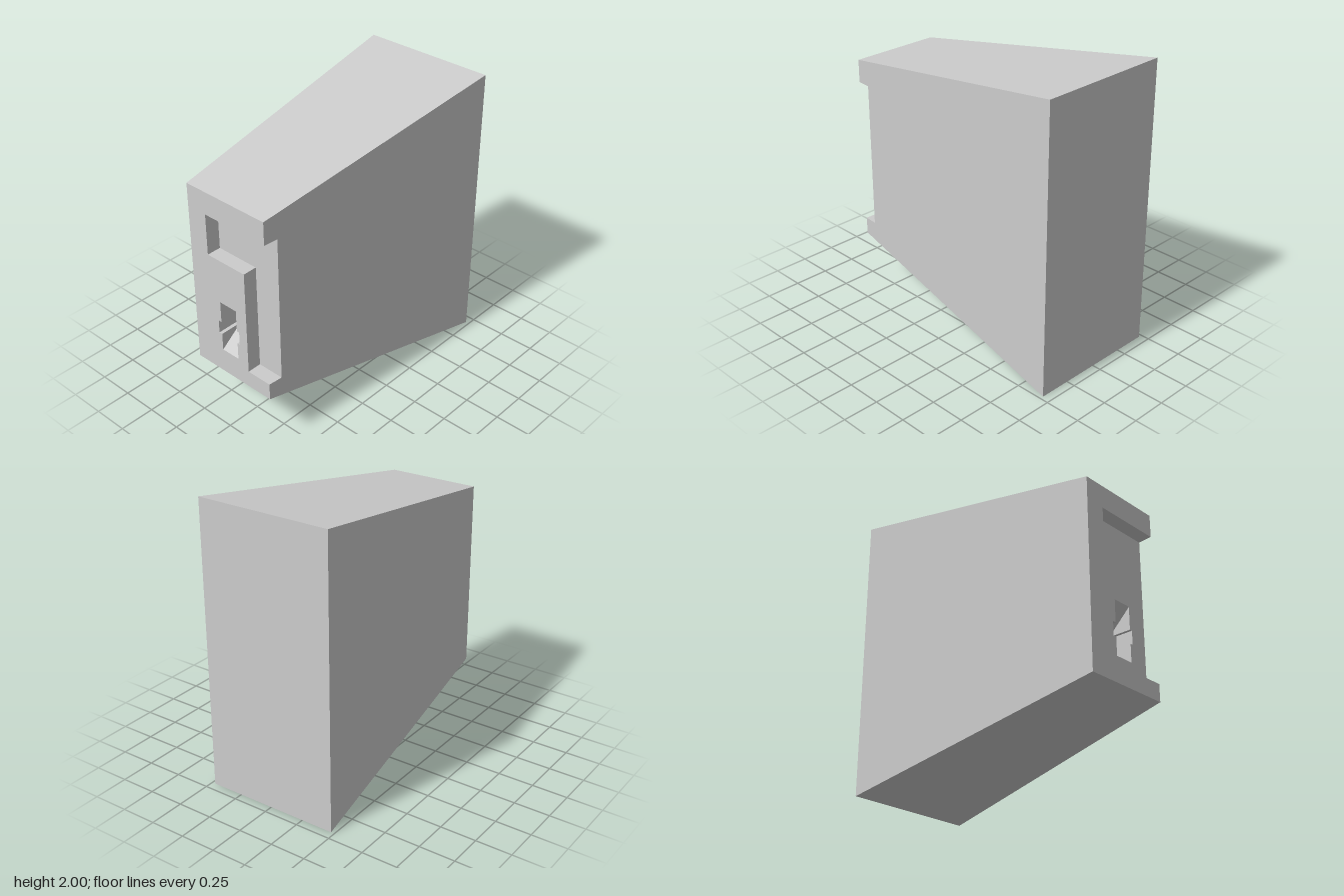
import * as THREE from 'three';

const FRONT = 0.94, BACK = -0.94, RECESS = 0.84, SLOT = 0.78;
// Half width of the tapered housing at depth z
const halfWidth = z => 0.325 + 0.15 * (FRONT - z) / (FRONT - BACK);

// Flat faces, each a convex loop of corners seen counter-clockwise
function faces(list) {
  const pos = [];
  for (const f of list)
    for (let i = 1; i < f.length - 1; i++) pos.push(...f[0], ...f[i], ...f[i + 1]);
  const g = new THREE.BufferGeometry();
  g.setAttribute('position', new THREE.Float32BufferAttribute(pos, 3));
  g.computeVertexNormals();
  return g;
}

const points = list => list.map(p => new THREE.Vector2(...p));

function flat(outline, hole) {
  const s = new THREE.Shape(points(outline));
  if (hole) s.holes.push(new THREE.Path(points(hole)));
  return new THREE.ShapeGeometry(s);
}

export function createModel() {
  const group = new THREE.Group();
  const grey = new THREE.MeshStandardMaterial({ color: 0xcccccc });
  const add = (name, geometry) => {
    const m = new THREE.Mesh(geometry, grey);
    m.name = name;
    group.add(m);
    return m;
  };

  // Tapered housing: top, underside, back and plain side
  const w = halfWidth(FRONT), W = halfWidth(BACK);
  add('housing', faces([
    [[-w, 1.7, FRONT], [w, 1.7, FRONT], [W, 2, BACK], [-W, 2, BACK]],
    [[-W, 0, BACK], [W, 0, BACK], [w, 0.38, FRONT], [-w, 0.38, FRONT]],
    [[W, 0, BACK], [-W, 0, BACK], [-W, 2, BACK], [W, 2, BACK]],
    [[-W, 0, BACK], [-w, 0.38, FRONT], [-w, 1.7, FRONT], [-W, 2, BACK]],
  ]));

  // Left side, notched where the recess runs out
  const side = flat([
    [-FRONT, 0.38], [-BACK, 0], [-BACK, 2], [-FRONT, 1.7],
    [-FRONT, 1.54], [-RECESS, 1.54], [-RECESS, 0.5], [-FRONT, 0.5],
  ]);
  const p = side.attributes.position;
  for (let i = 0; i < p.count; i++) {
    const z = -p.getX(i);
    p.setXYZ(i, halfWidth(z), p.getY(i), z);
  }
  side.computeVertexNormals();
  add('leftSide', side);

  // Front plate with the socket opening
  const step = [[w, 1.54], [-0.175, 1.54], [-0.175, 1.25], [0.14, 1.25], [0.14, 0.5], [w, 0.5]];
  const l = -0.09, r = 0.05, L = -0.115, R = 0.07;
  const low = 0.555, y0 = 0.68, y1 = 0.775, high = 0.93;
  const socket = [
    [l, low], [r, low], [r, y0], [R, y0], [R, y1], [r, y1],
    [r, high], [l, high], [l, y1], [L, y1], [L, y0], [l, y0],
  ];
  add('frontPlate', flat([[-w, 0.38], [w, 0.38], ...[...step].reverse(), [w, 1.7], [-w, 1.7]], socket))
    .position.z = FRONT;

  // Stepped recess: walls and floor
  const e = halfWidth(RECESS);
  const inner = step.map(([x, y]) => [x === w ? e : x, y]);
  add('recessWalls', faces(step.slice(1).map((b, i) => [
    [...step[i], FRONT], [...b, FRONT], [...inner[i + 1], RECESS], [...inner[i], RECESS],
  ])));
  add('recessFloor', flat(inner)).position.z = RECESS;

  // Socket: cross slot between two sloping chutes
  const wall = (a, b) => [[...a, FRONT], [...b, FRONT], [...b, SLOT], [...a, SLOT]];
  add('socketSlot', faces([
    [[L, y0, SLOT], [R, y0, SLOT], [R, y1, SLOT], [L, y1, SLOT]],
    wall([r, y0], [R, y0]), wall([R, y0], [R, y1]), wall([R, y1], [r, y1]),
    wall([l, y1], [L, y1]), wall([L, y1], [L, y0]), wall([L, y0], [l, y0]),
  ]));
  add('socketChutes', faces([
    [[r, high, FRONT], [l, high, FRONT], [l, y1, SLOT], [r, y1, SLOT]],
    [[l, high, FRONT], [l, y1, FRONT], [l, y1, SLOT]],
    [[r, y1, FRONT], [r, high, FRONT], [r, y1, SLOT]],
    [[l, low, FRONT], [r, low, FRONT], [r, y0, SLOT], [l, y0, SLOT]],
    [[l, y0, FRONT], [l, low, FRONT], [l, y0, SLOT]],
    [[r, low, FRONT], [r, y0, FRONT], [r, y0, SLOT]],
  ]));
  return group;
}
